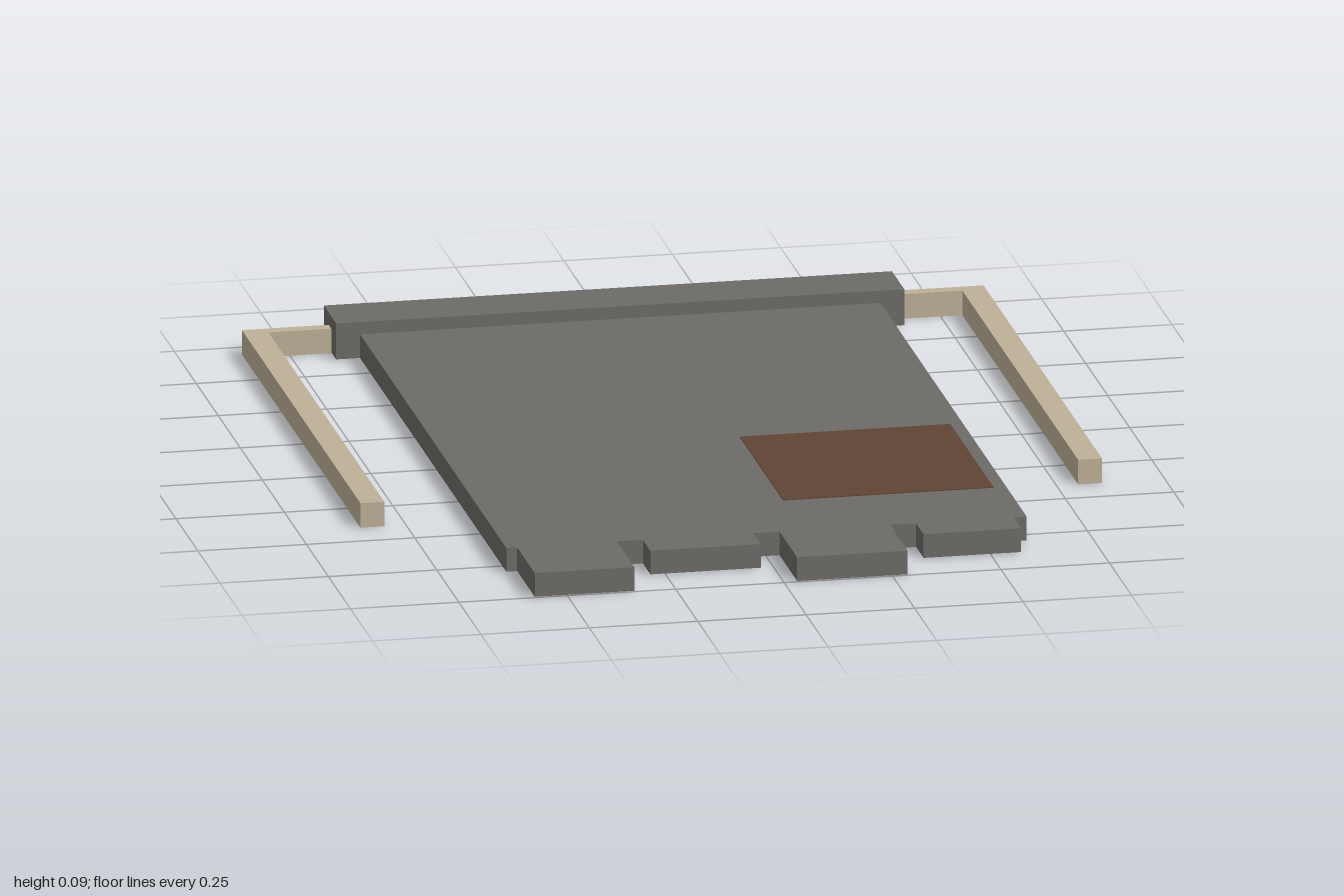
import * as THREE from 'three';

export function createModel() {
  const model = new THREE.Group();
  const material = (name, color) => {
    const m = new THREE.MeshStandardMaterial({ color });
    m.name = name;
    return m;
  };
  const grey = material('warm grey', 0x6d6b66);
  const tan = material('tan', 0xbdb197);
  const brown = material('brown', 0x5f4433);

  // Box given by its limits on each axis
  const box = (name, mat, [x0, x1], [y0, y1], [z0, z1]) => {
    const mesh = new THREE.Mesh(new THREE.BoxGeometry(x1 - x0, y1 - y0, z1 - z0), mat);
    mesh.position.set((x0 + x1) / 2, (y0 + y1) / 2, (z0 + z1) / 2);
    mesh.name = name;
    model.add(mesh);
  };

  // Flat cloth panel with four uneven tabs along its front edge
  const tabs = [[-0.575, -0.345, 1], [-0.285, -0.03, 0.885], [0.03, 0.285, 1], [0.345, 0.57, 0.885]];
  const outline = [[-0.6, -0.9], [-0.6, 0.8]];
  for (const [a, b, z] of tabs) outline.push([a, 0.8], [a, z], [b, z], [b, 0.8]);
  outline.push([0.6, 0.8], [0.6, -0.9]);
  const shape = new THREE.Shape(outline.map(([x, z]) => new THREE.Vector2(x, -z)));
  const panelGeometry = new THREE.ExtrudeGeometry(shape, { depth: 0.056, bevelEnabled: false });
  panelGeometry.rotateX(-Math.PI / 2);
  const panel = new THREE.Mesh(panelGeometry, grey);
  panel.position.y = 0.002;
  panel.name = 'clothPanel';
  model.add(panel);

  // Raised band across the back
  box('backBand', grey, [-0.655, 0.655], [0.002, 0.087], [-1, -0.86]);

  // Square patch lying on the cloth
  box('patch', brown, [0.085, 0.57], [0.056, 0.06], [0.08, 0.57]);

  // Frame: crossbar, lower rear ledge and two side rails
  box('crossbar', tan, [-0.8, 0.8], [0, 0.058], [-0.945, -0.915]);
  box('rearLedge', tan, [-0.83, 0.83], [0, 0.033], [-0.975, -0.945]);
  for (const [name, s] of [['leftRail', 1], ['rightRail', -1]]) {
    box(name, tan, s > 0 ? [0.8, 0.855] : [-0.855, -0.8], [0, 0.058], [-0.945, 0.4]);
  }
  return model;
}
